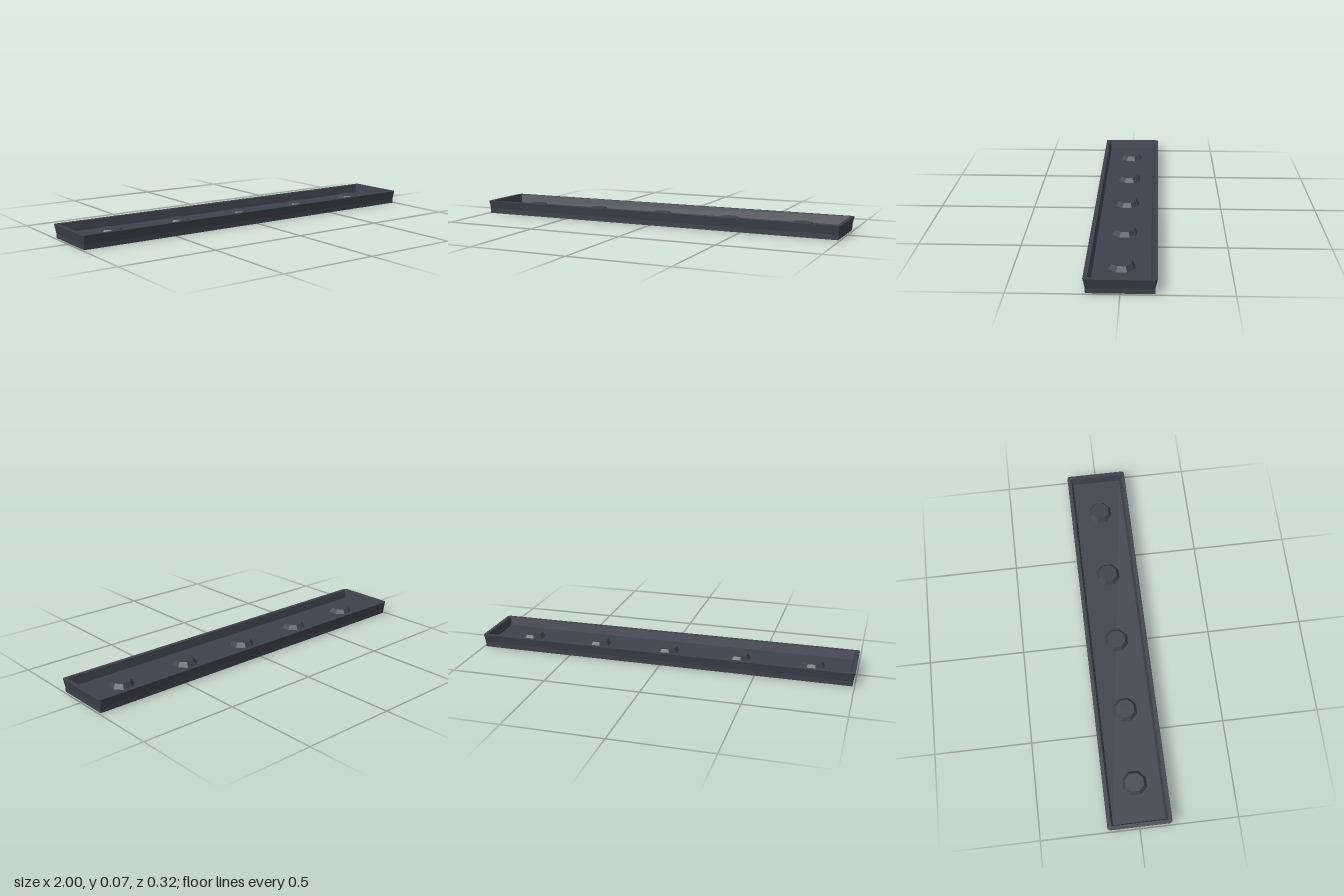
import * as THREE from 'three';

// Eight-point ring: a rectangle x by z whose sides flare outward by f, leaving clipped corners
function ring(x, z, f, y) {
  return [
    [x + f, z], [x + f, -z], [x, -z - f], [-x, -z - f],
    [-x - f, -z], [-x - f, z], [-x, z + f], [x, z + f],
  ].map(([px, pz]) => new THREE.Vector3(px, y, pz));
}

// Skin consecutive rings with quads and cap both ends
function loft(rings) {
  const pts = [];
  const tri = (a, b, c) => pts.push(a, b, c);
  for (let r = 0; r < rings.length - 1; r++) {
    const lo = rings[r], hi = rings[r + 1];
    for (let i = 0; i < 8; i++) {
      const j = (i + 1) % 8;
      tri(lo[i], lo[j], hi[j]);
      tri(lo[i], hi[j], hi[i]);
    }
  }
  const first = rings[0], last = rings[rings.length - 1];
  for (let i = 1; i < 7; i++) {
    tri(first[0], first[i + 1], first[i]);
    tri(last[0], last[i], last[i + 1]);
  }
  // Drop the empty triangles at square corners
  const solid = [];
  for (let i = 0; i < pts.length; i += 3) {
    const t = new THREE.Triangle(pts[i], pts[i + 1], pts[i + 2]);
    if (t.getArea() > 1e-9) solid.push(t.a, t.b, t.c);
  }
  const geometry = new THREE.BufferGeometry().setFromPoints(solid);
  geometry.computeVertexNormals();
  return geometry;
}

export function createModel() {
  const model = new THREE.Group();
  const material = new THREE.MeshStandardMaterial({ color: 0x3d414c, flatShading: true });
  const floorY = 0.025, topY = 0.07;

  // Shallow tray: straight base, flared rim, sunken floor
  const tray = new THREE.Mesh(loft([
    ring(0.99, 0.152, 0, 0),
    ring(0.99, 0.152, 0, floorY),
    ring(0.99, 0.152, 0.01, topY),
    ring(0.976, 0.138, 0.004, topY),
    ring(0.97, 0.132, 0, floorY),
  ]), material);
  tray.name = 'tray';
  model.add(tray);

  // Row of tapered octagonal studs on the floor
  const height = 0.024;
  const studGeometry = new THREE.CylinderGeometry(0.05, 0.066, height, 8);
  studGeometry.rotateY(Math.PI / 8);
  for (let i = -2; i <= 2; i++) {
    const stud = new THREE.Mesh(studGeometry, material);
    stud.name = `stud${i + 3}`;
    stud.position.set(i * 0.387, floorY + height / 2, 0);
    model.add(stud);
  }
  return model;
}
